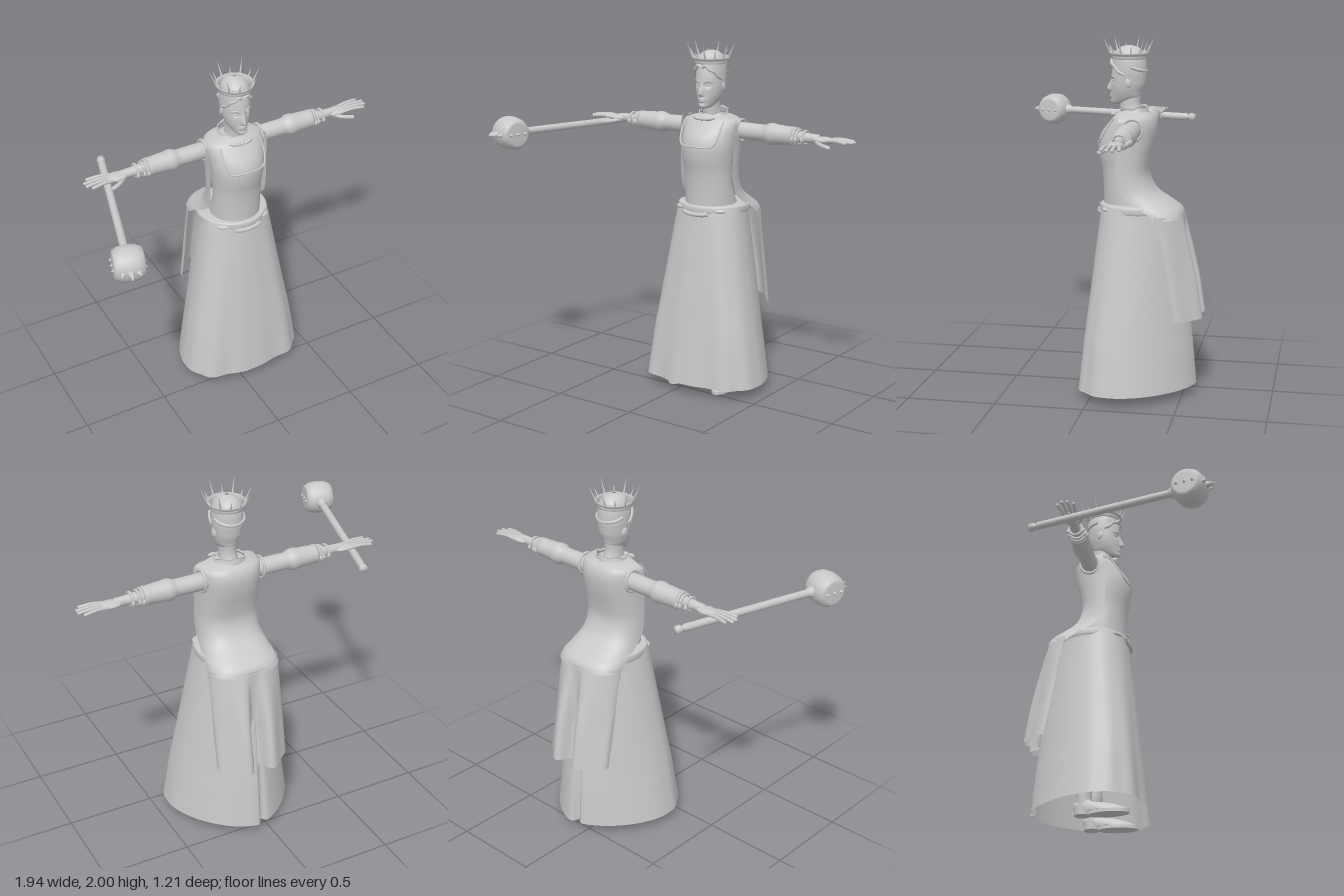
import * as THREE from 'three';

const grey = new THREE.MeshStandardMaterial({ color: 0xc8c8c8, side: THREE.DoubleSide });
grey.name = 'plain grey';
const CX = 0.08; // body centre line

function add(parent, name, geo, pos = [0, 0, 0], scale = [1, 1, 1], rot = [0, 0, 0]) {
  const m = new THREE.Mesh(geo, grey);
  m.name = name;
  m.position.set(...pos);
  m.scale.set(...scale);
  m.rotation.set(...rot);
  parent.add(m);
  return m;
}

// Surface over a u,v grid; closed surfaces share the seam vertices
function grid(nu, nv, fn, closed = false) {
  const cols = closed ? nu : nu + 1, pos = [], idx = [];
  for (let j = 0; j <= nv; j++)
    for (let i = 0; i < cols; i++) pos.push(...fn(i / nu, j / nv));
  for (let j = 0; j < nv; j++)
    for (let i = 0; i < nu; i++) {
      const a = j * cols + i, b = j * cols + (i + 1) % cols;
      idx.push(a, b, b + cols, a, b + cols, a + cols);
    }
  const g = new THREE.BufferGeometry();
  g.setAttribute('position', new THREE.Float32BufferAttribute(pos, 3));
  g.setIndex(idx);
  g.computeVertexNormals();
  return g;
}

// Interpolates section rows, smoothly or straight
function sample(rows, v, smooth = true) {
  const n = rows.length - 1, f = Math.min(v * n, n - 1e-6), i = Math.floor(f), t = f - i;
  const at = k => rows[Math.max(0, Math.min(n, k))];
  return rows[0].map((_, k) => {
    const a = at(i - 1)[k], b = at(i)[k], c = at(i + 1)[k], d = at(i + 2)[k];
    if (!smooth) return b + (c - b) * t;
    return b + 0.5 * t * (c - a + t * (2 * a - 5 * b + 4 * c - d + t * (3 * (b - c) + d - a)));
  });
}

// Rows are [y, half width, front z, back z]; warp may adjust each point
function loft(rows, warp = p => p, nu = 48, nv = 40) {
  return grid(nu, nv, (u, v) => {
    const [y, hx, zf, zb] = sample(rows, v), a = u * Math.PI * 2;
    return warp([CX + hx * Math.sin(a), y, (zf + zb) / 2 + (zf - zb) / 2 * Math.cos(a)], a);
  }, true);
}

const bell = (x, c, w) => Math.exp(-(((x - c) / w) ** 2));
const power = (x, e) => Math.sign(x) * Math.abs(x) ** e;
const ball = new THREE.SphereGeometry(1, 20, 14);
const tube = (pts, r, closed = false, n = 24) => new THREE.TubeGeometry(
  new THREE.CatmullRomCurve3(pts.map(p => new THREE.Vector3(...p)), closed), n, r, 8, closed);
const lathe = (pts, n = 24) => new THREE.LatheGeometry(pts.map(p => new THREE.Vector2(...p)), n);

function buildDress(root) {
  const g = new THREE.Group();
  g.name = 'dress';
  root.add(g);
  // Skirt: broad front, tapering back, folds and a back pleat fading towards the waist
  const skirt = [[0.055, 0.368, 0.092, -0.572], [0.3, 0.33, 0.064, -0.55], [0.55, 0.285, 0.036, -0.52],
    [0.8, 0.243, 0.006, -0.48], [1.04, 0.203, -0.025, -0.43], [1.085, 0.198, -0.03, -0.42], [1.09, 0.13, -0.05, -0.34]];
  add(g, 'skirt', grid(120, 42, (u, v) => {
    const [y, hx, zf, zb] = sample(skirt, v, false), a = u * Math.PI * 2, c = Math.cos(a);
    const fall = Math.min(1, (1 - v) * 1.25), zc = -0.21 + 0.05 * fall;
    const e = c > 0 ? 1 - 0.3 * fall : 1 + 0.25 * fall;
    const front = Math.max(0, c);
    const fold = 1 + (1 - v) ** 2 * (0.035 * front * Math.cos(9 * a + 0.5) - 0.03 * front - 0.11 * bell(a, 3.3, 0.05));
    return [CX + hx * power(Math.sin(a), e) * fold, y, zc + (c > 0 ? zf - zc : zc - zb) * power(c, e) * fold];
  }, true));
  add(g, 'waistband', loft([[1.045, 0.203, -0.022, -0.43], [1.055, 0.207, -0.017, -0.434],
    [1.08, 0.206, -0.018, -0.43], [1.088, 0.198, -0.025, -0.42]], undefined, 48, 9));
  add(g, 'beltPlate', tube([[0, 1.048, -0.03], [0.03, 1.042, -0.021], [CX, 1.04, -0.016], [0.13, 1.042, -0.021], [0.16, 1.048, -0.03]], 0.013));
  for (const s of [-1, 1])
    add(g, 'beltLoop', ball, [CX + s * 0.135, 1.063, -0.068], [0.034, 0.012, 0.014], [0, s * 0.5, 0]);
  // Bodice
  add(g, 'bodice', loft([[1.05, 0.15, -0.04, -0.36], [1.12, 0.146, -0.04, -0.31], [1.2, 0.142, -0.038, -0.275],
    [1.28, 0.143, -0.03, -0.275], [1.35, 0.15, -0.015, -0.285], [1.42, 0.157, -0.01, -0.3],
    [1.48, 0.163, -0.03, -0.32], [1.54, 0.17, -0.075, -0.315], [1.572, 0.15, -0.1, -0.295],
    [1.59, 0.09, -0.12, -0.26], [1.6, 0.045, -0.14, -0.235]]));
  add(g, 'neckline', tube([[-0.045, 1.565, -0.112], [-0.045, 1.49, -0.063], [-0.025, 1.435, -0.033], [CX, 1.425, -0.012],
    [0.185, 1.435, -0.033], [0.205, 1.49, -0.063], [0.205, 1.565, -0.112]], 0.005, false, 40));
  // Open vest that wraps the back and flares on to the bustle; rows are y, half width, edge z, back z
  const vest = [[1.02, 0.206, -0.35, -0.492], [1.06, 0.2, -0.3, -0.475], [1.1, 0.188, -0.23, -0.42],
    [1.16, 0.18, -0.16, -0.335], [1.25, 0.178, -0.135, -0.293], [1.34, 0.178, -0.135, -0.302],
    [1.44, 0.18, -0.135, -0.325], [1.52, 0.183, -0.14, -0.332], [1.57, 0.17, -0.15, -0.315], [1.595, 0.09, -0.16, -0.28]];
  add(g, 'vest', grid(40, 36, (u, v) => {
    const [y, hx, ze, zb] = sample(vest, v), a = (u - 0.5) * Math.PI;
    return [CX - hx * power(Math.sin(a), 0.75), y, ze + (zb - ze) * Math.abs(Math.cos(a)) ** 0.8];
  }));
  // Two-lobed back drape with a hollow down the middle
  const outline = [[-0.21, 0], [-0.205, 0.25], [-0.15, 0.6], [-0.09, 0.98], [-0.05, 0.94], [-0.018, 0.5],
    [0.018, 0.5], [0.05, 0.94], [0.09, 0.98], [0.15, 0.6], [0.205, 0.25], [0.21, 0]];
  add(g, 'backDrape', grid(60, 24, (u, v) => {
    const [x, d] = sample(outline, 1 - u);
    const drop = 1 - v, ze = -0.35 - 0.115 * drop;
    const zb = -0.49 - 0.115 * drop - 0.01 * Math.sin(drop * 3);
    const full = Math.sqrt(Math.max(0, 1 - (x / 0.211) ** 2));
    const depth = full + (d - full) * Math.min(1, drop * 1.6);
    return [CX + x, 0.455 + v * 0.585, ze + (zb - ze) * depth];
  }));
  // Standing collar and its tie
  add(g, 'collar', loft([[1.565, 0.105, -0.095, -0.29], [1.59, 0.088, -0.115, -0.285], [1.61, 0.08, -0.13, -0.28],
    [1.615, 0.086, -0.125, -0.286]], (p, a) => [p[0], p[1] + 0.004 * Math.cos(6 * a) - 0.012 * Math.cos(a), p[2]], 48, 10));
  add(g, 'collarKnot', ball, [CX, 1.575, -0.09], [0.013, 0.011, 0.012]);
  for (const s of [-1, 1]) {
    add(g, 'collarTie', ball, [CX + s * 0.042, 1.578, -0.095], [0.036, 0.011, 0.012], [0, s * 0.3, s * 0.15]);
    add(g, 'shoulderEdge', new THREE.TorusGeometry(0.054, 0.008, 10, 28), [CX + s * 0.176, 1.51, -0.225], [1, 1.1, 1], [0, Math.PI / 2, 0]);
  }
}

function buildArm(root, side) {
  const g = new THREE.Group();
  g.name = side > 0 ? 'leftArm' : 'rightArm';
  g.position.set(CX, 1.508, -0.225);
  g.scale.x = side;
  root.add(g);
  const along = [0, 0, -Math.PI / 2];
  add(g, 'sleeve', lathe([[0.04, 0.12], [0.048, 0.17], [0.048, 0.24], [0.047, 0.33], [0.051, 0.345], [0.06, 0.362],
    [0.061, 0.385], [0.056, 0.41], [0.054, 0.46], [0.051, 0.5], [0.054, 0.512], [0.048, 0.524], [0.034, 0.52]]), [0, 0, 0], [1, 1, 1], along);
  add(g, 'forearm', lathe([[0.036, 0.5], [0.032, 0.55], [0.026, 0.62], [0.024, 0.68]]), [0, 0, 0], [1, 1, 1], along);
  for (const [x, r] of [[0.53, 0.044], [0.55, 0.039], [0.587, 0.036]]) {
    add(g, 'bracelet', new THREE.TorusGeometry(r, 0.008, 8, 24), [x, 0, 0], [1, 1, 1], [0, Math.PI / 2, 0.1]);
    for (const z of [-1, 1])
      add(g, 'braceletStud', ball, [x, -0.01, z * (r + 0.004)], [0.009, 0.016, 0.012]);
  }
  add(g, 'palm', ball, [0.7, -0.003, 0], [0.07, 0.019, 0.043]);
  const lengths = [0.855, 0.88, 0.878, 0.855];
  lengths.forEach((end, i) => {
    const z = -0.034 + i * 0.022;
    add(g, 'finger', tube([[0.72, -0.002, z * 0.95], [0.79, 0.005, z * 1.15], [end - 0.003, -0.001, z * 1.35]], 0.0095, false, 10));
    add(g, 'fingertip', ball, [end - 0.003, -0.001, z * 1.35], [0.0095, 0.0095, 0.0095]);
  });
  add(g, 'thumb', tube([[0.66, -0.01, 0.018], [0.71, -0.022, 0.05], [0.765, -0.03, 0.068]], 0.012, false, 10));
  add(g, 'thumbTip', ball, [0.765, -0.03, 0.068], [0.012, 0.012, 0.012]);
}

function buildHead(root) {
  const g = new THREE.Group();
  g.name = 'head';
  root.add(g);
  add(g, 'neck', loft([[1.54, 0.065, -0.12, -0.27], [1.59, 0.052, -0.13, -0.255], [1.64, 0.046, -0.125, -0.24],
    [1.7, 0.048, -0.12, -0.245]], undefined, 32, 12));
  // Face shaped by soft bumps: nose, eye sockets, lips
  add(g, 'face', loft([[1.632, 0.01, -0.09, -0.125], [1.642, 0.032, -0.081, -0.18], [1.67, 0.053, -0.08, -0.235],
    [1.705, 0.068, -0.08, -0.248], [1.745, 0.077, -0.08, -0.26], [1.79, 0.08, -0.08, -0.268],
    [1.835, 0.08, -0.087, -0.27], [1.88, 0.074, -0.1, -0.255], [1.92, 0.06, -0.12, -0.235], [1.945, 0.01, -0.16, -0.18]],
  (p, a) => {
    if (Math.cos(a) < 0) return p;
    const x = p[0] - CX, y = p[1];
    const nose = 0.027 * bell(x, 0, 0.012) * (y < 1.715 ? bell(y, 1.715, 0.011) : bell(y, 1.715, 0.04));
    const socket = 0.011 * bell(Math.abs(x), 0.034, 0.016) * bell(y, 1.765, 0.014);
    const lips = 0.009 * bell(x, 0, 0.02) * (bell(y, 1.687, 0.006) + bell(y, 1.675, 0.006));
    const chin = 0.006 * bell(x, 0, 0.02) * bell(y, 1.65, 0.01);
    return [p[0], y, p[2] + nose - socket + lips + chin];
  }, 96, 80));
  for (const s of [-1, 1]) {
    add(g, 'eye', ball, [CX + s * 0.033, 1.765, -0.1], [0.015, 0.008, 0.009]);
    add(g, 'brow', tube([[CX + s * 0.014, 1.781, -0.081], [CX + s * 0.036, 1.789, -0.089], [CX + s * 0.058, 1.783, -0.11]], 0.0045, false, 10));
    add(g, 'ear', ball, [CX + s * 0.08, 1.755, -0.185], [0.009, 0.026, 0.017], [0.2, s * 0.3, 0]);
    // Waved lock along the hairline
    add(g, 'hairLock', tube([[CX + s * 0.004, 1.862, -0.083], [CX + s * 0.025, 1.874, -0.083], [CX + s * 0.046, 1.852, -0.091],
      [CX + s * 0.064, 1.842, -0.108], [CX + s * 0.076, 1.815, -0.13], [CX + s * 0.082, 1.8, -0.16]], 0.009, false, 30));
  }
  // Swept-up hair, low at the nape and high over the brow
  add(g, 'hair', grid(48, 20, (u, v) => {
    const a = u * Math.PI * 2, low = 1.79 + 0.065 * Math.cos(a) + 0.02 * Math.cos(2 * a);
    const y = low + (1.955 - low) * v, r = Math.sqrt(Math.max(0, 1 - Math.max(0, (y - 1.79) / 0.1655) ** 4));
    const nape = 1 - 0.1 * Math.max(0, (1.8 - y) / 0.07);
    return [CX + 0.085 * r * nape * Math.sin(a), y, -0.178 + 0.097 * r * nape * Math.cos(a)];
  }, true));
  add(g, 'hairRoll', tube([[-0.003, 1.84, -0.2], [0.015, 1.825, -0.245], [CX, 1.815, -0.272], [0.145, 1.825, -0.245], [0.163, 1.84, -0.2]], 0.009));

  // Spiked crown
  const crown = new THREE.Group();
  crown.name = 'crown';
  crown.position.set(CX, 1.9, -0.175);
  root.add(crown);
  add(crown, 'crownBand', lathe([[0.086, -0.02], [0.096, -0.018], [0.092, -0.007], [0.096, 0.002], [0.106, 0.006],
    [0.106, 0.016], [0.1, 0.02], [0.088, 0.014], [0.086, -0.02]], 40));
  for (let i = 0; i < 12; i++) {
    const pivot = new THREE.Group();
    pivot.name = 'crownSpikeMount';
    pivot.rotation.y = (i + 0.5) * Math.PI / 6;
    crown.add(pivot);
    const h = i % 2 ? 0.06 : 0.1;
    add(pivot, 'crownSpike', new THREE.ConeGeometry(0.0065, h, 6), [0, 0.008 + h * 0.46, 0.1 + h * 0.2], [1, 1, 1], [0.41, 0, 0]);
  }
}

function buildMace(root) {
  const g = new THREE.Group();
  g.name = 'mace';
  g.position.set(-0.868, 1.478, 0.455);
  g.rotation.y = -0.275; // local +z points out through the head
  root.add(g);
  const back = [-Math.PI / 2, 0, 0];
  add(g, 'handle', lathe([[0.021, 0.06], [0.021, 0.9], [0.014, 0.905], [0.014, 0.918], [0.023, 0.922], [0.023, 0.95], [0, 0.953]]), [0, 0, 0], [1, 1, 1], back);
  add(g, 'handleSocket', lathe([[0.032, 0.07], [0.03, 0.105], [0.021, 0.12]]), [0, 0, 0], [1, 1, 1], back);
  add(g, 'maceHead', lathe([[0, -0.08], [0.06, -0.08], [0.076, -0.075], [0.09, -0.048], [0.096, 0],
    [0.09, 0.048], [0.076, 0.075], [0.06, 0.08], [0, 0.08]], 32), [0, 0, 0], [1, 1, 1], [0, 0, Math.PI / 2]);
  add(g, 'tipSpike', new THREE.ConeGeometry(0.022, 0.06, 8), [0, 0, 0.118], [1, 1, 1], [Math.PI / 2, 0, 0]);
  for (const s of [-1, 1]) {
    add(g, 'frontSpike', new THREE.ConeGeometry(0.015, 0.035, 8), [s * 0.045, 0, 0.102], [1, 0.8, 1], [Math.PI / 2, 0, -s * 0.3]);
    for (const z of [-0.045, 0, 0.045])
      add(g, 'sideSpike', new THREE.ConeGeometry(0.012, 0.016, 8), [s * 0.086, 0, z], [1, 1, 1], [0, 0, -s * Math.PI / 2]);
  }
}

function buildLeg(root, s) {
  const g = new THREE.Group();
  g.name = s > 0 ? 'leftLeg' : 'rightLeg';
  g.position.set(CX + s * 0.14, 0, -0.2);
  g.rotation.y = s * 0.08;
  root.add(g);
  add(g, 'boot', lathe([[0.04, 0.05], [0.04, 0.1], [0.046, 0.17], [0.052, 0.19], [0.046, 0.2], [0.048, 0.32], [0.055, 0.6]]), [0, 0, -0.045]);
  // Rounded shoe upper on a sole and a block heel
  add(g, 'shoeUpper', grid(28, 12, (u, v) => {
    const a = u * Math.PI * 2, t = Math.sin(v * Math.PI / 2), r = Math.cos(v * Math.PI / 2);
    const c = Math.cos(a);
    return [0.054 * r * Math.sin(a), 0.018 + t * (c > 0 ? 0.055 : 0.075), 0.05 + c * (c > 0 ? 0.15 : 0.14) * r - 0.07 * t];
  }, true));
  add(g, 'sole', new THREE.CylinderGeometry(1, 1, 0.018, 28), [0, 0.009, 0.09], [0.054, 1, 0.115]);
  add(g, 'heel', new THREE.CylinderGeometry(0.046, 0.043, 0.05, 20), [0, 0.025, -0.055]);
}

export function createModel() {
  const root = new THREE.Group();
  root.name = 'crownedFigure';
  buildDress(root);
  buildHead(root);
  buildMace(root);
  for (const s of [1, -1]) {
    buildArm(root, s);
    buildLeg(root, s);
  }
  return root;
}
